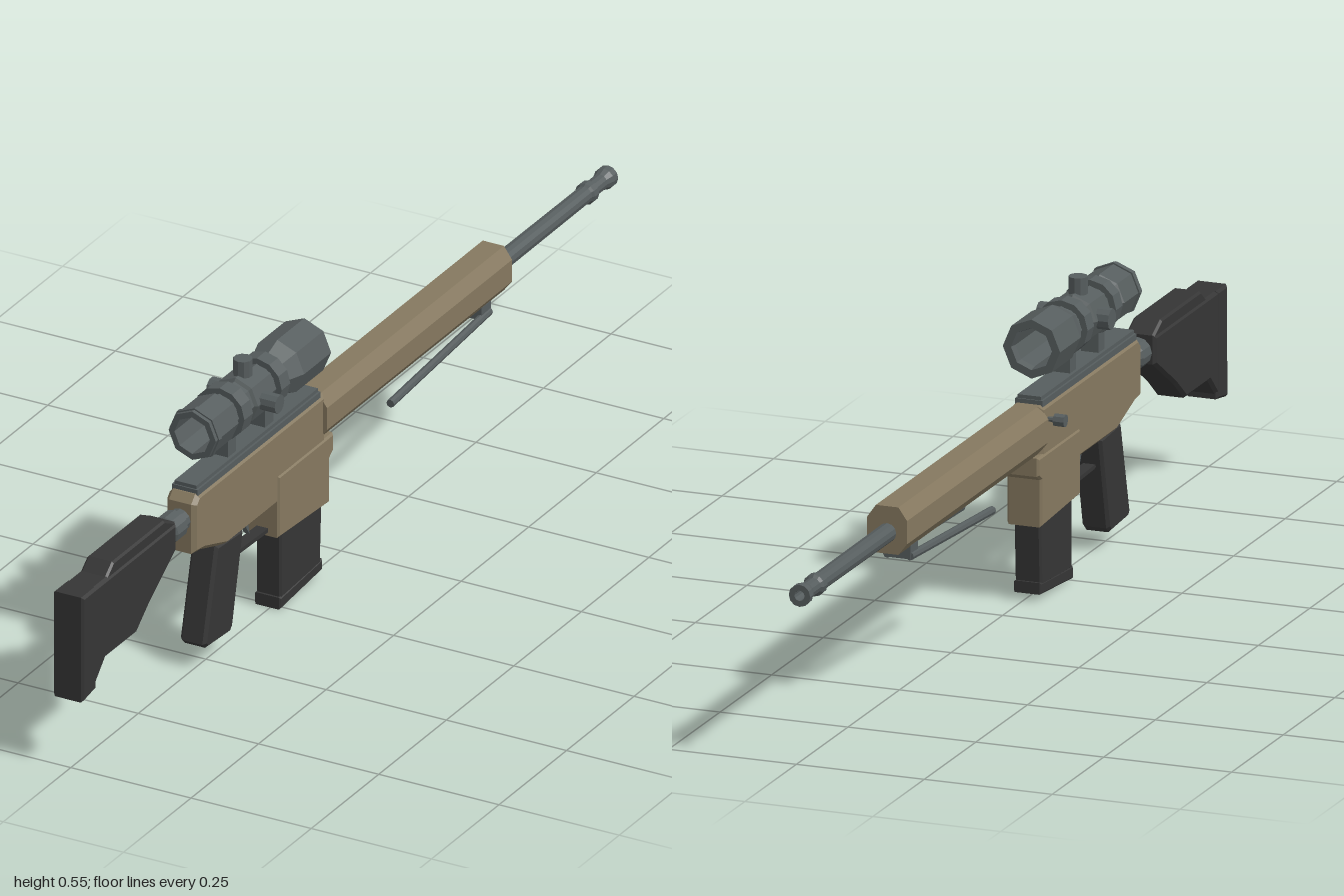
import * as THREE from 'three';

const mat = (name, color) => {
  const m = new THREE.MeshStandardMaterial({ color });
  m.name = name;
  return m;
};

export function createModel() {
  const tan = mat('tan', 0x85785f);
  const steel = mat('steel grey', 0x565d5e);
  const dark = mat('dark polymer', 0x353535);
  const root = new THREE.Group();
  root.name = 'rifle';

  // Faceted mesh
  const add = (name, geometry, material, x = 0, y = 0, z = 0) => {
    const g = geometry.index ? geometry.toNonIndexed() : geometry;
    g.computeVertexNormals();
    const mesh = new THREE.Mesh(g, material);
    mesh.name = name;
    mesh.position.set(x, y, z);
    root.add(mesh);
    return mesh;
  };

  // Side outline of [z, y] points, extruded across x with a chamfer
  const slab = (name, pts, half, material, bevel = 0) => {
    const shape = new THREE.Shape(pts.map(([z, y]) => new THREE.Vector2(z, y)));
    const g = new THREE.ExtrudeGeometry(shape, {
      depth: 2 * (half - bevel), bevelEnabled: bevel > 0, bevelThickness: bevel,
      bevelSize: bevel, bevelOffset: -bevel, bevelSegments: 1,
    });
    g.translate(0, 0, bevel - half).rotateY(-Math.PI / 2);
    return add(name, g, material);
  };

  // Turned part along z from [radius, z] points, outer wall in rising z
  const turned = (name, pts, sides, material, y) => {
    const g = new THREE.LatheGeometry(pts.map(([r, z]) => new THREE.Vector2(r, z)), sides);
    return add(name, g.rotateX(Math.PI / 2), material, 0, y);
  };
  const box = (name, w, h, d, material, x, y, z) =>
    add(name, new THREE.BoxGeometry(w, h, d), material, x, y, z);

  // Stock with raised cheek piece and butt pad
  slab('stock', [[0.96, 0.145], [0.915, 0.19], [0.80, 0.19], [0.75, 0.23], [0.65, 0.295],
    [0.65, 0.35], [0.97, 0.35], [0.97, 0.145]], 0.031, dark, 0.006);
  slab('cheekPiece', [[0.905, 0.335], [0.65, 0.335], [0.65, 0.35], [0.69, 0.37], [0.88, 0.37],
    [0.905, 0.35]], 0.0275, dark, 0.004);
  slab('buttPad', [[1, 0.137], [0.95, 0.145], [0.95, 0.35], [1, 0.35]], 0.032, dark, 0.005);

  // Stock tube with collar
  turned('stockTube', [[0, 0.56], [0.022, 0.56], [0.022, 0.60], [0.028, 0.605], [0.028, 0.64],
    [0.022, 0.645], [0.022, 0.67], [0, 0.67]], 12, steel, 0.32);

  // Receiver, magazine well and lip
  slab('receiver', [[0.585, 0.255], [0.55, 0.25], [0.465, 0.222], [0.10, 0.222], [0.10, 0.37],
    [0.57, 0.37], [0.585, 0.355]], 0.031, tan, 0.008);
  slab('magazineWell', [[0.28, 0.155], [0.09, 0.145], [0.09, 0.235], [0.075, 0.245],
    [0.075, 0.28], [0.28, 0.28]], 0.034, tan, 0.004);

  // Eight-sided handguard
  const guard = new THREE.Shape([[-0.039, 0.302], [-0.022, 0.28], [0.022, 0.28], [0.039, 0.302],
    [0.039, 0.346], [0.022, 0.37], [-0.022, 0.37], [-0.039, 0.346]]
    .map(([x, y]) => new THREE.Vector2(x, y)));
  add('handguard', new THREE.ExtrudeGeometry(guard, { depth: 0.685, bevelEnabled: false }),
    tan, 0, 0, -0.575);

  // Barrel and hollow flared muzzle
  turned('barrel', [[0, -0.925], [0.017, -0.925], [0.018, -0.56], [0, -0.56]], 12, steel, 0.32);
  turned('muzzle', [[0.010, -0.95], [0.010, -1], [0.021, -1], [0.021, -0.985], [0.016, -0.97],
    [0.016, -0.935], [0.021, -0.93], [0.021, -0.915], [0.016, -0.91]], 12, steel, 0.32);
  add('bore', new THREE.CircleGeometry(0.010, 12).rotateY(Math.PI), dark, 0, 0.32, -0.95);

  // Grip, trigger and trigger guard
  slab('pistolGrip', [[0.54, 0.05], [0.53, 0.04], [0.445, 0.035], [0.435, 0.045], [0.395, 0.225],
    [0.495, 0.232]], 0.027, dark, 0.006);
  slab('trigger', [[0.36, 0.23], [0.35, 0.20], [0.338, 0.183], [0.343, 0.205], [0.345, 0.23]],
    0.006, steel);
  slab('triggerGuard', [[0.42, 0.172], [0.40, 0.166], [0.27, 0.162], [0.27, 0.17], [0.40, 0.174]],
    0.012, dark);

  // Magazine and floor plate
  slab('magazine', [[0.258, 0.02], [0.11, 0.028], [0.104, 0.16], [0.258, 0.16]], 0.026, dark, 0.004);
  slab('magazineFloor', [[0.262, 0], [0.104, 0.013], [0.104, 0.035], [0.262, 0.024]],
    0.027, dark, 0.003);

  // Bolt handle on the right side
  const across = (r, len, sides) => new THREE.CylinderGeometry(r, r, len, sides).rotateZ(Math.PI / 2);
  add('boltStem', across(0.005, 0.03, 8), steel, -0.04, 0.34, 0.13);
  add('boltKnob', across(0.012, 0.021, 8), steel, -0.0545, 0.34, 0.13);

  // Sight rail
  box('railBase', 0.054, 0.016, 0.455, steel, 0, 0.37, 0.34);
  box('railTop', 0.046, 0.010, 0.45, steel, 0, 0.38, 0.34);

  // Open scope tube: eyepiece, body and bell, then the inner wall
  const scopeY = 0.47;
  turned('scope', [[0.040, 0.125], [0.056, 0.125], [0.056, 0.225], [0.041, 0.265], [0.041, 0.445],
    [0.049, 0.455], [0.049, 0.54], [0.037, 0.54], [0.037, 0.14], [0.040, 0.125]], 8, steel, scopeY);
  turned('scopeEyeRing', [[0.046, 0.522], [0.052, 0.522], [0.052, 0.532], [0.046, 0.532]],
    8, steel, scopeY);

  // Scope clamps with their posts
  for (const z of [0.285, 0.423]) {
    turned('scopeClamp', [[0.040, z - 0.016], [0.052, z - 0.016], [0.052, z + 0.016],
      [0.040, z + 0.016]], 12, steel, scopeY);
    box('scopePost', 0.034, 0.05, 0.03, steel, 0, 0.404, z);
  }

  // Turret housing with top and side knobs
  turned('turretHousing', [[0.040, 0.32], [0.047, 0.325], [0.047, 0.379], [0.040, 0.384]],
    8, steel, scopeY);
  add('topTurret', new THREE.CylinderGeometry(0.018, 0.018, 0.033, 10), steel, 0, 0.5285, 0.352);
  add('leftTurret', across(0.018, 0.034, 10), steel, 0.059, scopeY, 0.352);
  add('rightTurret', across(0.02, 0.026, 10), steel, -0.053, scopeY, 0.352);

  // Folded bipod
  box('bipodMount', 0.05, 0.026, 0.035, steel, 0, 0.27, -0.505);
  for (const side of [-1, 1]) {
    const path = new THREE.LineCurve3(
      new THREE.Vector3(side * 0.022, 0.262, -0.52), new THREE.Vector3(side * 0.030, 0.243, -0.14));
    const mid = path.getPoint(0.5);
    const leg = add('bipodLeg', new THREE.CylinderGeometry(0.008, 0.008, path.getLength(), 8),
      steel, mid.x, mid.y, mid.z);
    leg.quaternion.setFromUnitVectors(new THREE.Vector3(0, 1, 0), path.getTangent(0));
  }

  root.position.x = -0.006;
  const model = new THREE.Group();
  model.name = 'model';
  model.add(root);
  return model;
}
